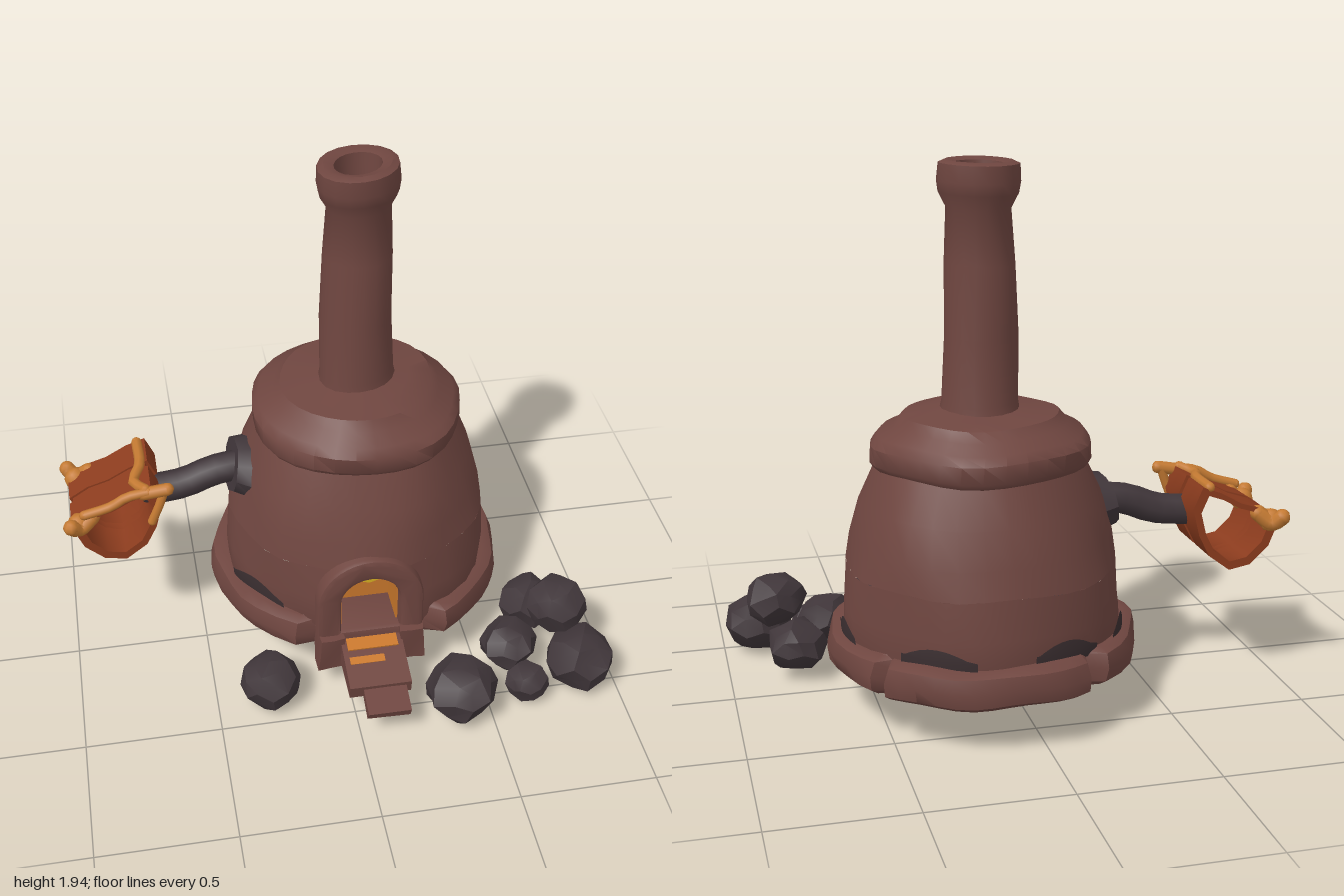
import * as THREE from 'three';
import { toCreasedNormals } from 'three/addons/utils/BufferGeometryUtils.js';

const mat = (name, color) => Object.assign(new THREE.MeshStandardMaterial({ color }), { name });
const V = (x, y, z) => new THREE.Vector3(x, y, z);
const P = (list) => list.map(([x, y]) => new THREE.Vector2(x, y));
const CX = 0.115, CZ = -0.155; // furnace axis
const DOOR = 0.085;            // doorway centre in x

// Move every vertex by a smooth rule so surfaces look hand-moulded
function wobble(geo, amp, f, seed = 0) {
  const p = geo.attributes.position;
  for (let i = 0; i < p.count; i++) {
    const x = p.getX(i), y = p.getY(i), z = p.getZ(i);
    p.setXYZ(i,
      x + amp * Math.sin(f * y + 1.7 * f * z + seed),
      y + amp * 0.7 * Math.sin(f * x * 1.3 + f * z + seed * 2.1),
      z + amp * Math.sin(f * x * 1.5 - f * y + seed * 3.3));
  }
  return geo;
}

export function createModel() {
  const clay = mat('clay', 0x6f4640);
  const coal = mat('coal', 0x40363a);
  const soot = mat('soot', 0x3a2e30);
  const leather = mat('leather', 0x8c3c1e);
  const wood = mat('goldenWood', 0xc47a32);
  const ember = mat('emberOrange', 0xc9782c);
  const flame = mat('flameYellow', 0xd6b022);

  const model = new THREE.Group();
  const add = (name, geo, material, x = 0, y = 0, z = 0, parent = model) => {
    const m = new THREE.Mesh(geo, material);
    m.name = name;
    m.position.set(x, y, z);
    parent.add(m);
    return m;
  };
  const crease = (g, a = 0.7) => toCreasedNormals(g, a);

  // Furnace body: lower wall leaves a gap for the doorway, upper wall is closed
  const gap = 0.26, turn = -0.066;
  const lower = new THREE.LatheGeometry(P([[0.47, 0.19], [0.5, 0.28], [0.5, 0.4], [0.485, 0.54]]),
    28, turn + gap, Math.PI * 2 - 2 * gap);
  add('lowerWall', crease(wobble(lower, 0.007, 9)), clay, CX, 0, CZ);
  const upper = new THREE.LatheGeometry(P([[0.485, 0.54], [0.465, 0.64], [0.43, 0.77], [0.375, 0.9],
    [0.39, 0.92], [0.39, 0.98], [0.365, 1.01], [0.31, 1.04], [0.28, 1.075], [0.2, 1.085], [0.1, 1.1]]), 32);
  add('upperWall', crease(wobble(upper, 0.007, 9)), clay, CX, 0, CZ);

  // Underside with a burnt centre
  add('underside', new THREE.CircleGeometry(0.5, 28).rotateX(Math.PI / 2), clay, CX, 0.19, CZ);
  const burn = new THREE.Shape(Array.from({ length: 32 }, (_, i) => {
    const a = i / 32 * Math.PI * 2, r = 0.41 + 0.03 * Math.sin(5 * a) + 0.025 * Math.sin(11 * a + 1);
    return new THREE.Vector2(r * Math.cos(a), r * Math.sin(a));
  }));
  add('burntUnderside', new THREE.ShapeGeometry(burn).rotateX(Math.PI / 2), soot, CX, 0.184, CZ);

  // Foot ring in three rough pieces whose ends shrink into the wall
  [[0.36, 1.95, 0.0], [2.2, 1.55, 0.012], [3.65, 2.2, 0.004]].forEach(([start, length, grow], n) => {
    const g = new THREE.LatheGeometry(P([[0.42, 0.183], [0.52, 0.18], [0.55, 0.2], [0.56, 0.25],
      [0.545, 0.3], [0.51, 0.315], [0.44, 0.31]]), 14, start, length);
    const p = g.attributes.position;
    for (let i = 0; i < p.count; i++) {
      const a = Math.floor(i / 7) / 14, k = Math.min(1, 0.35 + Math.min(a, 1 - a) * 9);
      const r = Math.hypot(p.getX(i), p.getZ(i)), s = (0.43 + (r + grow - 0.43) * k) / r;
      p.setXYZ(i, p.getX(i) * s, p.getY(i), p.getZ(i) * s);
    }
    add('footRing' + (n + 1), crease(wobble(g, 0.008, 11, n)), clay, CX, 0, CZ);
  });

  // Sooty smears on the wall just above the foot ring
  [[1.5, 0.4], [2.35, 0.55], [3.3, 0.5], [4.0, 0.4], [5.0, 0.55]].forEach(([start, length]) => {
    const g = new THREE.LatheGeometry(P([[0.508, 0.3], [0.512, 0.34], [0.508, 0.38]]), 8, start, length);
    const p = g.attributes.position;
    for (let i = 0; i < p.count; i++) {
      if (i % 3 === 2) p.setY(i, 0.33 + 0.05 * Math.sin(Math.PI * Math.floor(i / 3) / 8));
    }
    add('sootSmear', wobble(g, 0.007, 9), soot, CX, 0, CZ);
  });

  // Chimney with a thick collar and a dark flue
  const chimney = new THREE.LatheGeometry(P([[0.15, 1.05], [0.137, 1.12], [0.13, 1.35], [0.121, 1.6],
    [0.113, 1.79], [0.14, 1.84], [0.147, 1.88], [0.143, 1.94], [0.12, 1.95], [0.085, 1.94], [0.075, 1.78]]), 18);
  add('chimney', crease(wobble(chimney, 0.005, 8)), clay, CX, 0, CZ);
  add('flueFloor', new THREE.CircleGeometry(0.08, 18).rotateX(-Math.PI / 2), soot, CX, 1.79, CZ);

  // Arched doorway
  const archPath = (Type, r, base, top) => {
    const s = new Type();
    s.moveTo(-r, base);
    s.lineTo(r, base);
    s.lineTo(r, top);
    s.absarc(0, top, r, 0, Math.PI, false);
    s.lineTo(-r, base);
    return s;
  };
  const archRing = (outer, inner, base, innerBase, depth, bevel) => {
    const s = archPath(THREE.Shape, outer, base, 0.405);
    s.holes.push(archPath(THREE.Path, inner, innerBase, 0.405));
    return new THREE.ExtrudeGeometry(s, { depth, curveSegments: 10, bevelEnabled: bevel > 0,
      bevelSize: bevel, bevelThickness: bevel, bevelSegments: 2 });
  };
  add('doorArch', crease(archRing(0.182, 0.128, 0.2, 0.255, 0.2, 0.018)), clay, DOOR, 0, 0.13);
  add('hearthLining', crease(archRing(0.122, 0.103, 0.225, 0.245, 0.15, 0)), ember, DOOR, 0, 0.15);
  add('hearthBack', new THREE.ShapeGeometry(archPath(THREE.Shape, 0.12, 0.23, 0.405)), ember, DOOR, 0, 0.16);
  const glow = new THREE.Shape(P([[-0.09, 0.35], [-0.03, 0.36], [0.03, 0.34], [0.09, 0.36], [0.1, 0.43],
    [0.06, 0.48], [-0.02, 0.49], [-0.08, 0.46]]));
  add('fireGlow', new THREE.ShapeGeometry(glow), flame, DOOR, 0, 0.166);
  add('fireStrip', new THREE.BoxGeometry(0.14, 0.02, 0.006), flame, DOOR + 0.03, 0.256, 0.166);
  for (const s of [-1, 1]) {
    add('archFoot', crease(wobble(new THREE.BoxGeometry(0.09, 0.15, 0.13, 2, 2, 2), 0.008, 14, s)),
      clay, DOOR + s * 0.153, 0.195, 0.305);
  }

  // Sloping hearth spout made of two slabs, with glowing patches
  const slab = (w, pts) => new THREE.ExtrudeGeometry(new THREE.Shape(P(pts)),
    { depth: w, bevelEnabled: false }).rotateY(-Math.PI / 2).translate(w / 2, 0, 0);
  add('hearthSpout', crease(slab(0.23, [[0.18, 0.14], [0.54, 0.13], [0.55, 0.185], [0.42, 0.22], [0.34, 0.243],
    [0.18, 0.245]])), clay, DOOR);
  add('spoutLip', crease(wobble(slab(0.16, [[0.5, 0.12], [0.64, 0.115], [0.65, 0.145], [0.5, 0.18]]), 0.005, 15)),
    clay, DOOR + 0.015);
  add('spoutEmbers', new THREE.BoxGeometry(0.19, 0.006, 0.09), ember, DOOR, 0.238, 0.355).rotation.x = 0.2;
  add('spoutEmberPatch', new THREE.BoxGeometry(0.13, 0.006, 0.03), ember, DOOR - 0.03, 0.214, 0.44).rotation.x = 0.28;

  // Rods and straps with rounded ends
  const rod = (name, pts, r, material, parent) => {
    const v = pts.map((p) => V(...p));
    add(name, new THREE.TubeGeometry(new THREE.CatmullRomCurve3(v), 8, r, 8), material, 0, 0, 0, parent);
    for (const e of [v[0], v[v.length - 1]]) {
      add(name + 'End', new THREE.SphereGeometry(r, 8, 6), material, e.x, e.y, e.z, parent);
    }
  };

  // Air pipe and its wall flange
  const bellows = new THREE.Group();
  bellows.name = 'bellows';
  model.add(bellows);
  rod('airPipe', [[-0.26, 0.73, -0.155], [-0.42, 0.715, -0.15], [-0.54, 0.67, -0.15], [-0.66, 0.655, -0.15]],
    0.058, coal, bellows);
  const flange = new THREE.CylinderGeometry(0.12, 0.145, 0.075, 10).rotateZ(Math.PI / 2).scale(1, 0.8, 1);
  add('pipeFlange', crease(wobble(flange, 0.006, 12)), coal, -0.32, 0.72, -0.155, bellows).rotation.z = -0.2;

  // Leather bag: two hollow panels joined by a narrower seam
  const outline = [[-0.97, 0.64], [-0.93, 0.54], [-0.86, 0.475], [-0.78, 0.46], [-0.7, 0.52], [-0.66, 0.6],
    [-0.635, 0.7], [-0.67, 0.78], [-0.74, 0.755], [-0.82, 0.71], [-0.9, 0.685]];
  const scaled = (k) => P(outline.map(([x, y]) => [-0.79 + (x + 0.79) * k, 0.62 + (y - 0.62) * k]));
  const bag = (k, depth) => {
    const s = new THREE.Shape(scaled(k));
    s.holes.push(new THREE.Path(scaled(0.8)));
    return crease(new THREE.ExtrudeGeometry(s, { depth, bevelEnabled: false, steps: 2 }), 0.9);
  };
  add('bagPanelBack', bag(1, 0.14), leather, 0, 0, -0.305, bellows);
  add('bagSeam', bag(0.93, 0.04), leather, 0, 0, -0.17, bellows);
  add('bagPanelFront', bag(1, 0.14), leather, 0, 0, -0.135, bellows);

  // Wooden handles and ties
  for (const [z, s] of [[-0.29, -1], [-0.015, 1]]) {
    rod('handleTip', [[-0.89, 0.665, z], [-0.94, 0.63, z + s * 0.02], [-0.97, 0.655, z + s * 0.04]],
      0.03, wood, bellows);
    add('handleKnob', new THREE.IcosahedronGeometry(0.044, 1), wood, -0.94, 0.635, z, bellows);
  }
  rod('edgeTie', [[-0.92, 0.69, 0.005], [-0.82, 0.72, 0.008], [-0.76, 0.755, 0.008], [-0.68, 0.77, 0.01]],
    0.018, wood, bellows);
  rod('peg', [[-0.7, 0.76, 0.005], [-0.61, 0.775, 0.012]], 0.024, wood, bellows);
  rod('sideTie', [[-0.62, 0.77, 0.005], [-0.645, 0.7, 0.008], [-0.675, 0.63, 0.008]], 0.017, wood, bellows);
  rod('topTie', [[-0.69, 0.775, 0], [-0.73, 0.765, -0.07], [-0.7, 0.775, -0.15], [-0.7, 0.775, -0.29]],
    0.02, wood, bellows);

  // Lumps of coal around the furnace
  [[-0.3, 0.11, 0.38, 0.115], [0.385, 0.13, 0.565, 0.13], [0.75, 0.14, 0.155, 0.11], [0.81, 0.265, 0.32, 0.115],
    [0.61, 0.15, 0.385, 0.105], [0.865, 0.125, 0.475, 0.13], [0.65, 0.085, 0.525, 0.08]]
    .forEach(([x, y, z, r], i) => {
      const g = wobble(new THREE.IcosahedronGeometry(1, 1), 0.1, 3.4, i * 1.9);
      g.scale(r, r * 0.87, r);
      add('coalLump' + (i + 1), crease(g, 0.5), coal, x, y, z);
    });

  return model;
}
